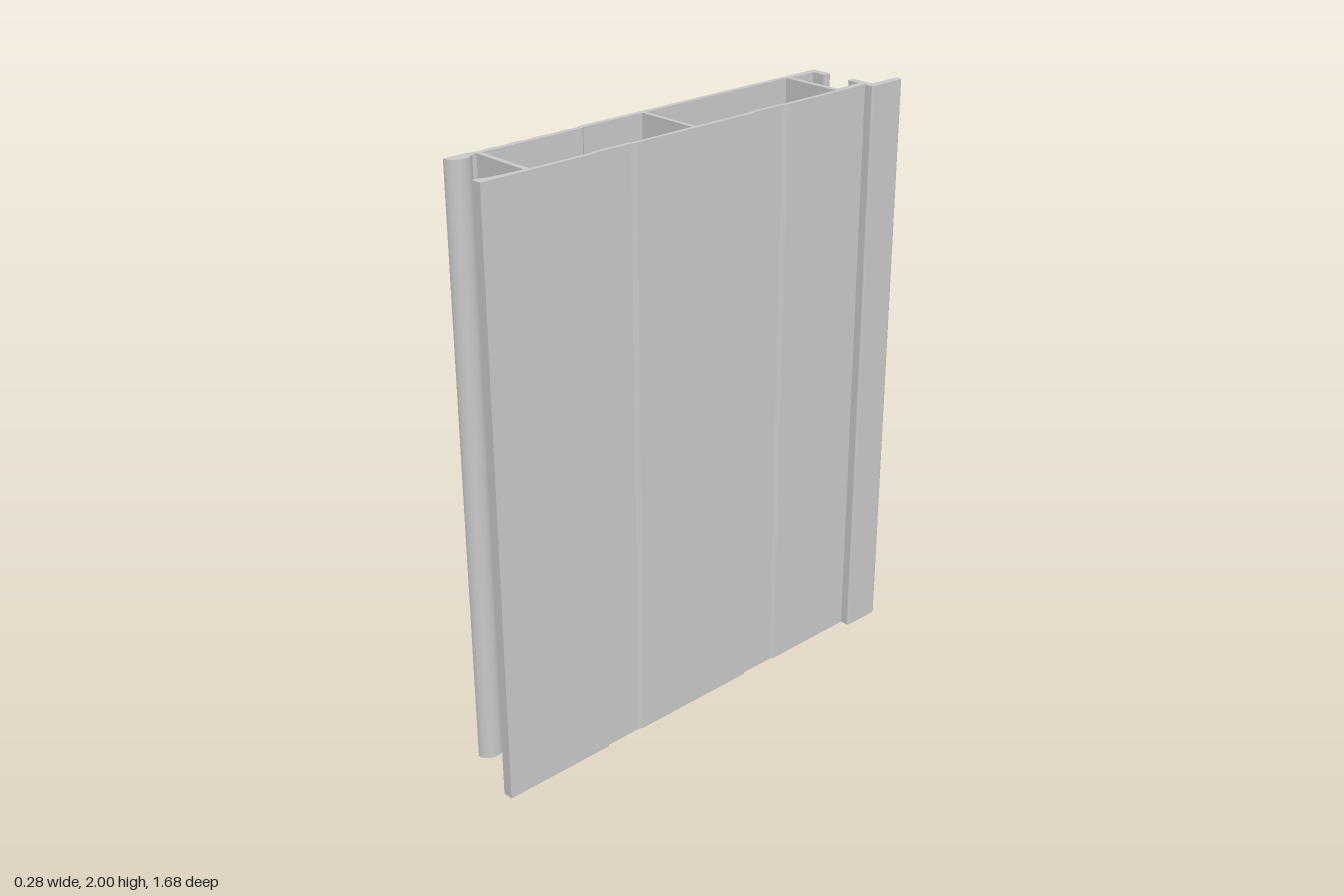
import * as THREE from 'three';

const HEIGHT = 2;

// Points are [x, z]; the shape's y axis becomes -z after the extrusion is laid upright.
const toPoints = (list) => list.map(([x, z]) => new THREE.Vector2(x, -z));

// Rounded tip running from angle a0 to a1 in the x/z plane.
function arc(cx, cz, rx, rz, a0, a1, n = 8) {
  const out = [];
  for (let i = 0; i <= n; i++) {
    const a = a0 + ((a1 - a0) * i) / n;
    out.push([cx + rx * Math.cos(a), cz + rz * Math.sin(a)]);
  }
  return out;
}

export function createModel() {
  const PI = Math.PI;
  const group = new THREE.Group();
  group.name = 'extrudedPanelProfile';
  const aluminium = new THREE.MeshStandardMaterial({ color: 0xc8c8c8 });
  aluminium.name = 'aluminium grey';

  // Shallow ripples on the outside of the -x wall
  const ripples = [];
  for (let i = 0; i <= 48; i++) {
    const t = i / 48;
    ripples.push([-0.1355 + 0.0025 * Math.cos(t * PI * 8), 0.665 - t * 0.355]);
  }

  const outline = [
    // back hook on the -x side
    [-0.141, -0.722],
    ...arc(-0.074, -0.708, 0.012, 0.014, -PI / 2, PI / 2),
    [-0.117, -0.694], [-0.117, -0.59],
    // outside of the rear web
    [0.082, -0.59], [0.082, -0.694],
    // back hook on the +x side with its upright fin
    ...arc(0.042, -0.708, 0.011, 0.014, PI / 2, PI * 1.5),
    [0.114, -0.722],
    ...arc(0.1275, -0.828, 0.0135, 0.012, -PI, 0),
    ...arc(0.134, -0.7, 0.007, 0.006, 0, PI / 2, 4),
    [0.108, -0.694],
    // +x wall with two shallow bands, each ramping in and stepping out
    [0.108, -0.338], [0.102, -0.322], [0.102, -0.194], [0.108, -0.19],
    [0.108, 0.284], [0.102, 0.3], [0.102, 0.431], [0.108, 0.435],
    // front lip on the +x side
    [0.108, 0.84], [0.072, 0.84], [0.074, 0.825], [0.084, 0.787],
    [0.089, 0.74], [0.09, 0.68],
    // outside of the front web, then the rounded bead
    [-0.119, 0.68], [-0.119, 0.695],
    ...arc(-0.141, 0.734, 0.041, 0.045, -0.9, PI / 2, 14),
    [-0.141, 0.7],
    ...ripples,
    [-0.141, 0.28],
  ];
  const shape = new THREE.Shape(toPoints(outline));

  // Two long chambers separated by the middle web
  const rearChamber = [
    [-0.123, -0.572], [0.094, -0.572], [0.094, -0.338], [0.089, -0.322],
    [0.089, -0.194], [0.094, -0.19], [0.094, 0.039], [-0.123, 0.039],
  ];
  const frontChamber = [
    [-0.123, 0.054], [0.094, 0.054], [0.094, 0.284], [0.089, 0.3],
    [0.089, 0.431], [0.094, 0.435], [0.094, 0.662], [-0.117, 0.662],
    [-0.117, 0.295], [-0.123, 0.287],
  ];
  for (const chamber of [rearChamber, frontChamber]) {
    // wound against the outline so the chamber walls face inward
    shape.holes.push(new THREE.Path(toPoints(chamber).reverse()));
  }

  const geometry = new THREE.ExtrudeGeometry(shape, { depth: HEIGHT, bevelEnabled: false });
  geometry.rotateX(-PI / 2);
  const panel = new THREE.Mesh(geometry, aluminium);
  panel.name = 'hollowPanel';
  group.add(panel);
  return group;
}
